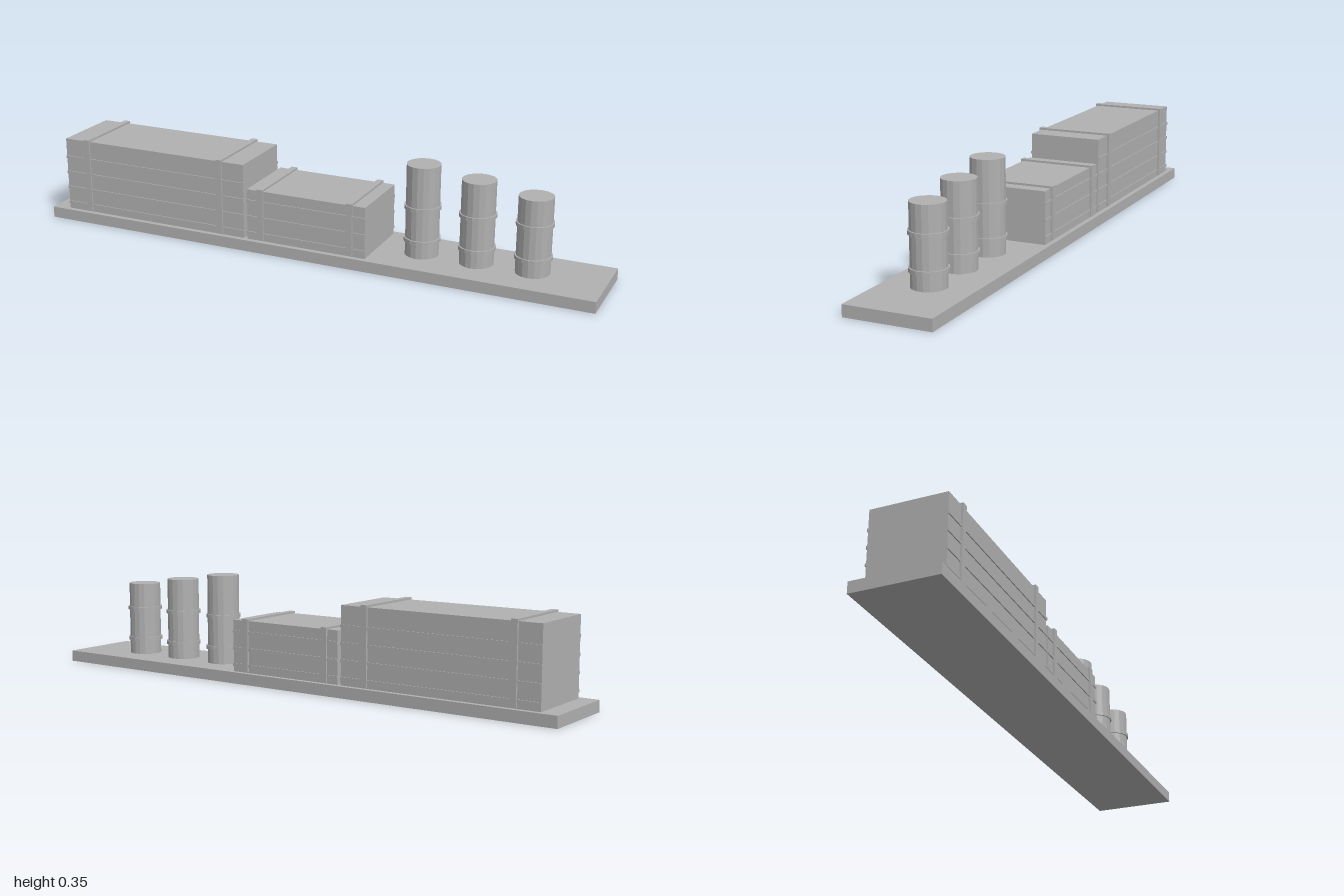
import * as THREE from 'three';

export function createModel() {
  const model = new THREE.Group();
  model.name = 'cargoPlatform';
  const grey = new THREE.MeshStandardMaterial({ color: 0xb0b0b0 });
  grey.name = 'plainGrey';
  grey.flatShading = true;

  const add = (parent, name, geometry, x, y, z) => {
    const mesh = new THREE.Mesh(geometry, grey);
    mesh.name = name;
    mesh.position.set(x, y, z);
    parent.add(mesh);
  };
  // Box given by its lower and upper limits
  const box = (parent, name, [x0, x1], [y0, y1], [z0, z1]) =>
    add(parent, name, new THREE.BoxGeometry(x1 - x0, y1 - y0, z1 - z0),
      (x0 + x1) / 2, (y0 + y1) / 2, (z0 + z1) / 2);

  const deck = 0.039;
  box(model, 'basePlate', [-1, 1], [0, deck], [-0.146, 0.146]);

  // Crates with side slats and straps over the top
  const crates = [
    { name: 'tallCrate', x: [-0.938, -0.223], top: 0.302, slats: 4, straps: [-0.848, -0.315] },
    { name: 'lowCrate', x: [-0.21, 0.225], top: 0.218, slats: 3, straps: [-0.158, 0.17] },
  ];
  for (const { name, x, top, slats, straps } of crates) {
    const crate = new THREE.Group();
    crate.name = name;
    model.add(crate);
    box(crate, 'crateBody', x, [deck, top], [-0.128, 0.128]);
    for (const side of [-1, 1]) {
      const span = (a, b) => (side > 0 ? [a, b] : [-b, -a]);
      for (let i = 0; i < slats; i++) {
        const y = 0.063 + i * 0.057;
        box(crate, 'slat', [x[0] - 0.001, x[1] + 0.001], [y - 0.005, y + 0.005], span(0.125, 0.1315));
      }
      for (const s of straps)
        box(crate, 'sideStrap', [s - 0.011, s + 0.011], [0.043, top], span(0.127, 0.135));
    }
    for (const s of straps)
      box(crate, 'topStrap', [s - 0.011, s + 0.011], [top - 0.001, top + 0.007], [-0.135, 0.135]);
  }

  // Drums of falling height, each with two hoops
  [[0.377, 0.353], [0.567, 0.327], [0.757, 0.3]].forEach(([x, top]) => {
    const drum = new THREE.Group();
    drum.name = 'drum';
    model.add(drum);
    add(drum, 'drumBody', new THREE.CylinderGeometry(0.057, 0.057, top - deck, 18), x, (top + deck) / 2, 0);
    for (const y of [0.095, 0.208])
      add(drum, 'hoop', new THREE.CylinderGeometry(0.062, 0.062, 0.013, 18), x, y, 0);
  });
  return model;
}
